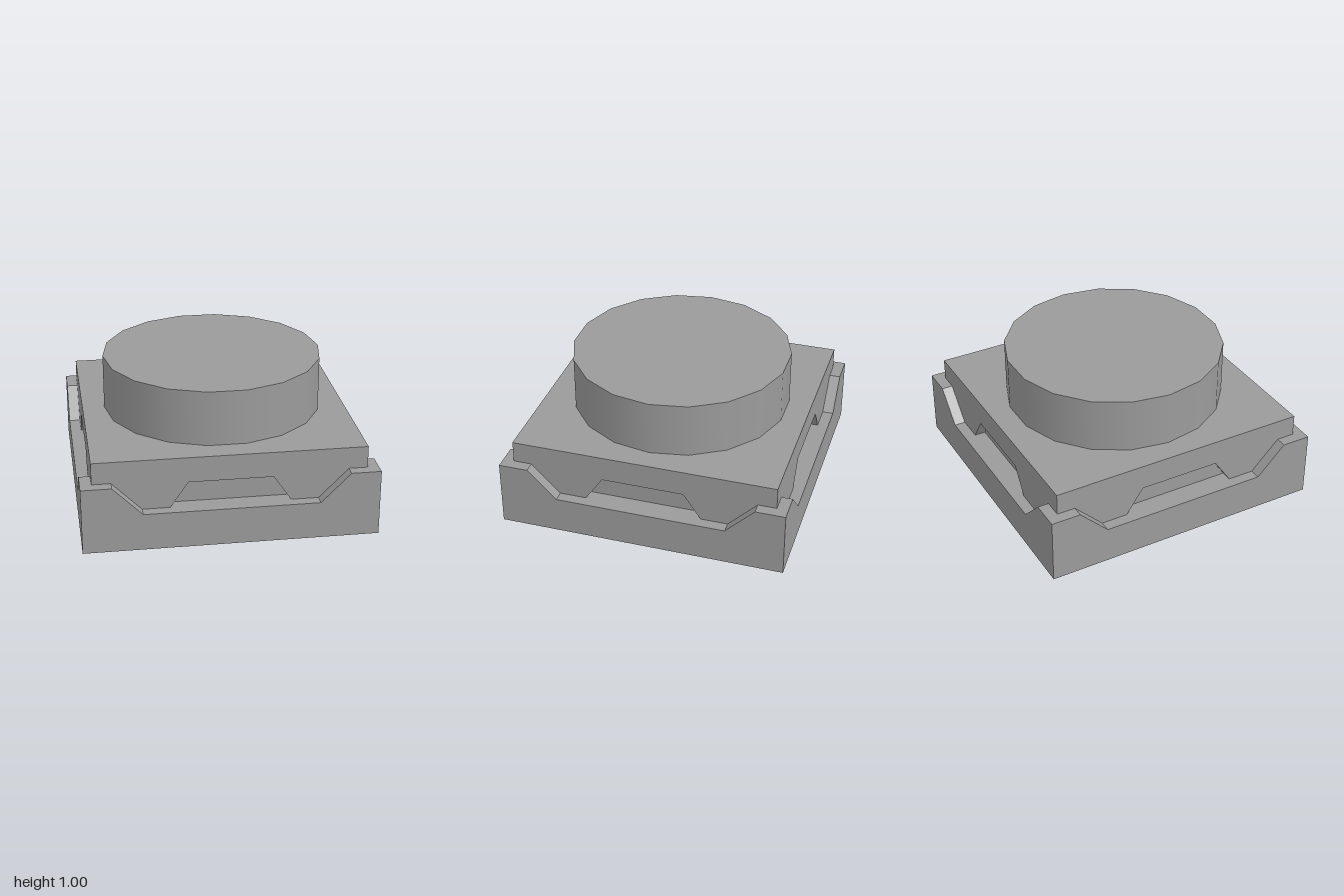
import * as THREE from 'three';

const STEP = 0.077; // thickness of the rim and depth of the recesses
const BODY = 1 - STEP;
const CORE = BODY - STEP;
const BODY_TOP = 0.615;

const toPoints = (list) => list.map(([x, y]) => new THREE.Vector2(x, y));

// Upright panel with mitred ends; its outer face lies at z = half
function mitredPanel(outline, hole, half) {
  const shape = new THREE.Shape(toPoints(outline));
  if (hole) shape.holes.push(new THREE.Path(toPoints(hole)));
  const geo = new THREE.ExtrudeGeometry(shape, { depth: STEP, bevelEnabled: false });
  const pos = geo.attributes.position;
  for (let i = 0; i < pos.count; i++) {
    const x = pos.getX(i);
    if (pos.getZ(i) < STEP / 2 && Math.abs(x) > half - 0.001) {
      pos.setX(i, Math.sign(x) * (half - STEP));
    }
  }
  geo.translate(0, 0, half - STEP);
  geo.computeVertexNormals();
  return geo;
}

export function createModel() {
  const model = new THREE.Group();
  const material = new THREE.MeshStandardMaterial({ color: 0x9b9b9b });
  const add = (parent, name, geometry) => {
    const mesh = new THREE.Mesh(geometry, material);
    mesh.name = name;
    parent.add(mesh);
    return mesh;
  };

  // Four identical panels around the centre
  const addRing = (name, geometry) => {
    const ring = new THREE.Group();
    ring.name = name;
    for (let i = 0; i < 4; i++) add(ring, name + 'Panel', geometry).rotation.y = i * Math.PI / 2;
    model.add(ring);
  };

  // Outer rim, dipping in the middle of each side
  addRing('baseRim', mitredPanel([
    [-1, 0], [1, 0], [1, 0.463], [0.795, 0.463], [0.594, 0.26],
    [-0.594, 0.26], [-0.795, 0.463], [-1, 0.463],
  ], null, 1));

  // Body walls, each with a trapezoid recess
  addRing('bodyWall', mitredPanel(
    [[-BODY, 0], [BODY, 0], [BODY, BODY_TOP], [-BODY, BODY_TOP]],
    [[-0.407, 0.26], [-0.285, 0.437], [0.285, 0.437], [0.407, 0.26]],
    BODY,
  ));

  // Solid core behind the recesses
  const core = new THREE.BoxGeometry(2 * CORE, BODY_TOP, 2 * CORE);
  add(model, 'bodyCore', core.translate(0, BODY_TOP / 2, 0));

  // Round top with 18 smooth-shaded sides and a corner on the x axis
  const height = 1 - BODY_TOP;
  const disc = new THREE.CylinderGeometry(0.768, 0.768, height, 18, 1, false, Math.PI / 2);
  add(model, 'roundTop', disc.translate(0, BODY_TOP + height / 2, 0));

  return model;
}
